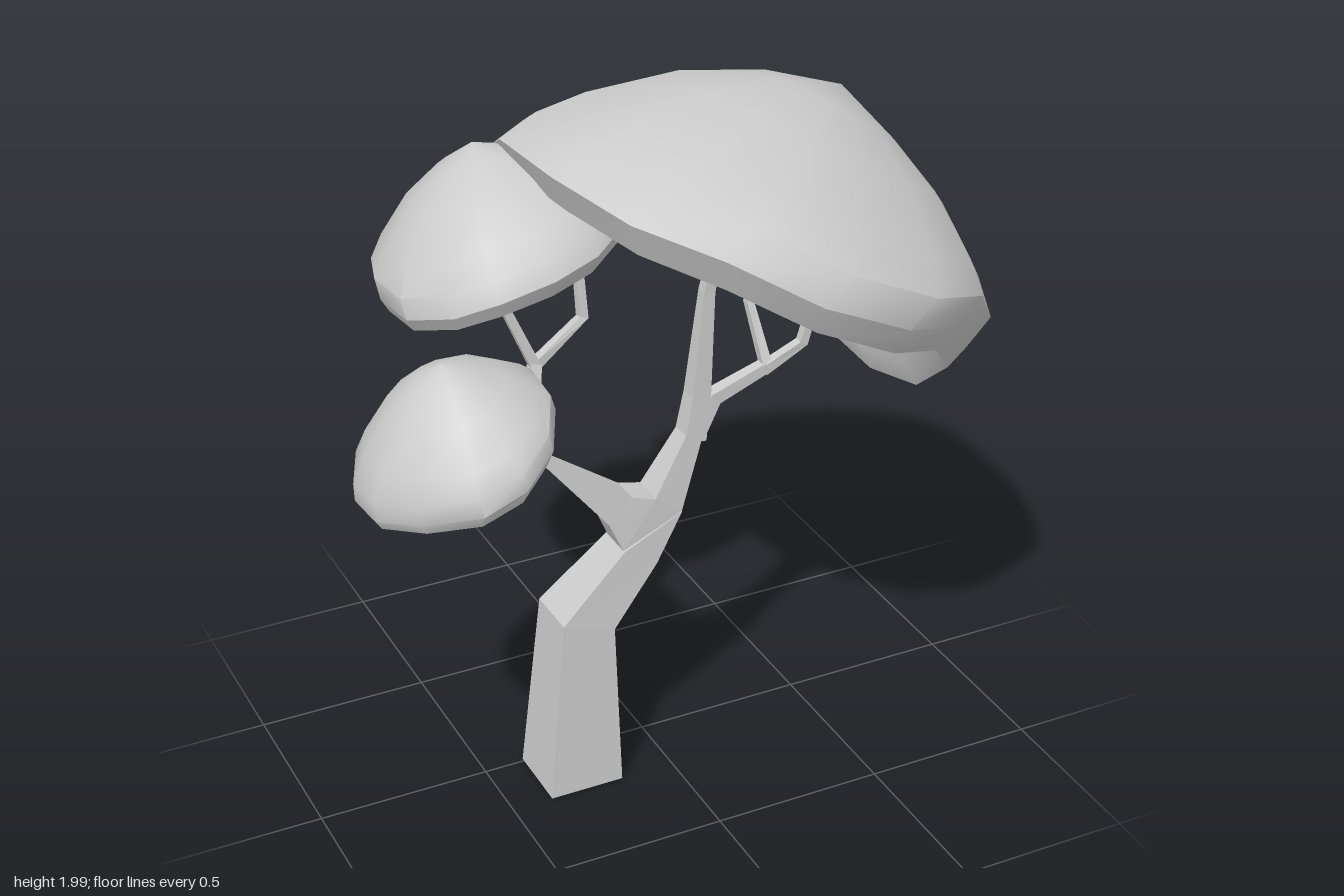
import * as THREE from 'three';
import { toCreasedNormals } from 'three/addons/utils/BufferGeometryUtils.js';

const V = (x, y, z) => new THREE.Vector3(x, y, z);
const smooth = new THREE.MeshStandardMaterial({ color: 0xcccccc, side: THREE.DoubleSide });
const faceted = new THREE.MeshStandardMaterial({ color: 0xcccccc, flatShading: true, side: THREE.DoubleSide });

// Skin a list of rings (each an array of Vector3 of equal length) into triangles
function skin(rings) {
  const pos = [];
  const tri = (a, b, c) => {
    if (a.distanceTo(b) > 1e-6 && b.distanceTo(c) > 1e-6 && a.distanceTo(c) > 1e-6)
      for (const p of [a, b, c]) pos.push(p.x, p.y, p.z);
  };
  const n = rings[0].length;
  for (let j = 0; j < rings.length - 1; j++) {
    for (let i = 0; i < n; i++) {
      const k = (i + 1) % n, a = rings[j], b = rings[j + 1];
      tri(a[i], b[i], a[k]);
      tri(a[k], b[i], b[k]);
    }
  }
  const g = new THREE.BufferGeometry();
  g.setAttribute('position', new THREE.Float32BufferAttribute(pos, 3));
  g.computeVertexNormals();
  return g;
}

function addMesh(parent, name, geometry, material) {
  const m = new THREE.Mesh(geometry, material);
  m.name = name;
  parent.add(m);
}

// Canopy profile: [share of rim radius, share of height], hollow underside first, then lip and dome
const PROFILE = [[0, 0.5], [0.4, 0.45], [0.72, 0.29], [0.9, 0.08], [0.96, 0],
  [1.03, 0.12], [1.01, 0.27], [0.88, 0.44], [0.6, 0.71], [0.3, 0.89], [0, 1]];

// Rim points run clockwise seen from above; the lip rises straight up, the dome along its tilted
// axis, and the rim's waviness fades towards that axis
function canopy(rim, axis, height) {
  const pts = rim.map(p => V(...p));
  const c = pts.reduce((s, p) => s.add(p), V(0, 0, 0)).divideScalar(pts.length);
  const up = V(...axis).normalize();
  const rings = PROFILE.map(([s, h]) => pts.map(p => {
    const wave = p.clone().sub(c).dot(up);
    return c.clone().lerp(p, s)
      .addScaledVector(h < 0.2 ? V(0, 1, 0) : up, h * height)
      .addScaledVector(up, wave * s * (s - 1));
  }));
  return toCreasedNormals(skin(rings), 0.62);
}

// Trunk section: left and right edge in x/y, centre and half width in z
const section = ([x1, y1, x2, y2, zc, h]) =>
  [V(x1, y1, zc + h), V(x1, y1, zc - h), V(x2, y2, zc - h), V(x2, y2, zc + h)];

// Four-sided tapering branch along points [x, y, z, half width]
function branch(path) {
  const pts = path.map(p => V(p[0], p[1], p[2]));
  const rings = pts.map((p, i) => {
    const dir = pts[Math.min(i + 1, pts.length - 1)].clone().sub(pts[Math.max(i - 1, 0)]).normalize();
    const side = dir.clone().cross(V(0, 0, 1)).normalize();
    const front = side.clone().cross(dir).normalize();
    const r = path[i][3];
    return [[1, 1], [1, -1], [-1, -1], [-1, 1]].map(([a, b]) =>
      p.clone().addScaledVector(side, a * r).addScaledVector(front, -b * r));
  });
  return skin(rings);
}

export function createModel() {
  const tree = new THREE.Group();
  tree.name = 'tree';

  // Trunk, open at the foot, with its two main limbs
  const trunk = new THREE.Group();
  trunk.name = 'trunk';
  tree.add(trunk);
  const limbs = {
    trunkBase: [[-0.38, 0, -0.16, 0, 0.095, 0.105], [-0.325, 0.55, -0.17, 0.5, 0.095, 0.083],
      [-0.13, 0.73, -0.03, 0.67, 0.1, 0.06], [-0.13, 0.73, 0.05, 0.81, 0.1, 0.052]],
    rightLimb: [[-0.13, 0.73, 0.05, 0.81, 0.1, 0.052], [-0.03, 0.87, 0.05, 0.81, 0.1, 0.05],
      [0.075, 1.04, 0.12, 1.01, 0.1, 0.03]],
    leftLimb: [[-0.03, 0.87, -0.13, 0.73, 0.1, 0.052], [-0.1, 0.89, -0.17, 0.82, 0.1, 0.045],
      [-0.35, 1.06, -0.39, 1.09, 0.08, 0.03]],
  };
  for (const [name, rows] of Object.entries(limbs))
    addMesh(trunk, name, skin(rows.map(section)), faceted);

  // Branches carrying the canopies
  const branches = new THREE.Group();
  branches.name = 'branches';
  tree.add(branches);
  const paths = {
    largeCanopyBranch: [[0.1, 1.01, 0.1, 0.033], [0.12, 1.14, 0.1, 0.028], [0.14, 1.45, 0.11, 0.017],
      [0.18, 1.68, 0.12, 0.012]],
    largeCanopySideBranch: [[0.1, 1.02, 0.1, 0.03], [0.17, 1.12, 0.1, 0.02], [0.32, 1.19, 0.12, 0.016]],
    largeCanopyTwigInner: [[0.32, 1.19, 0.12, 0.014], [0.3, 1.36, 0.05, 0.011], [0.39, 1.6, 0, 0.01]],
    largeCanopyTwigOuter: [[0.31, 1.18, 0.12, 0.015], [0.42, 1.25, 0.14, 0.013], [0.5, 1.55, 0.15, 0.01]],
    middleCanopyBranch: [[-0.37, 1.08, 0.08, 0.022], [-0.36, 1.13, 0.06, 0.02], [-0.31, 1.27, -0.02, 0.015]],
    middleCanopyTwigLeft: [[-0.31, 1.27, -0.02, 0.014], [-0.4, 1.48, -0.03, 0.012], [-0.36, 1.68, -0.06, 0.01]],
    middleCanopyTwigRight: [[-0.31, 1.27, -0.02, 0.014], [-0.14, 1.35, -0.08, 0.013], [-0.15, 1.7, -0.12, 0.01]],
    smallCanopyBranch: [[-0.36, 1.07, 0.08, 0.022], [-0.46, 1.13, 0.13, 0.016], [-0.57, 1.21, 0.2, 0.013],
      [-0.66, 1.38, 0.25, 0.009]],
    smallCanopyTwigFront: [[-0.56, 1.2, 0.19, 0.011], [-0.66, 1.23, 0.29, 0.009], [-0.72, 1.33, 0.33, 0.007]],
    smallCanopyTwigBack: [[-0.56, 1.2, 0.19, 0.011], [-0.66, 1.22, 0.18, 0.009], [-0.74, 1.32, 0.18, 0.007]],
  };
  for (const [name, path] of Object.entries(paths)) addMesh(branches, name, branch(path), faceted);

  // Three hollow, tilted canopies
  addMesh(tree, 'largeCanopy', canopy([
    [0.09, 1.35, -0.66], [0.36, 1.22, -0.64], [0.58, 1.1, -0.55], [0.76, 1.02, -0.35],
    [0.82, 0.94, -0.12], [0.83, 1.0, 0.13], [0.8, 1.17, 0.34], [0.62, 1.37, 0.56],
    [0.42, 1.45, 0.66], [0.17, 1.57, 0.67], [-0.05, 1.7, 0.58], [-0.21, 1.75, 0.39],
    [-0.29, 1.78, 0.11], [-0.31, 1.78, -0.17], [-0.25, 1.66, -0.4], [-0.14, 1.5, -0.57],
  ], [0.58, 0.81, -0.07], 0.62), smooth);

  addMesh(tree, 'middleCanopy', canopy([
    [-0.32, 1.4, -0.54], [-0.18, 1.42, -0.51], [-0.05, 1.45, -0.42], [0, 1.51, -0.28],
    [0.01, 1.58, -0.12], [-0.07, 1.61, 0.03], [-0.2, 1.59, 0.14], [-0.33, 1.56, 0.17],
    [-0.47, 1.52, 0.15], [-0.57, 1.47, 0.08], [-0.65, 1.43, -0.04], [-0.66, 1.42, -0.2],
    [-0.61, 1.4, -0.36], [-0.48, 1.38, -0.48],
  ], [-0.13, 0.94, -0.2], 0.37), smooth);

  addMesh(tree, 'smallCanopy', canopy([
    [-0.62, 1.2, 0], [-0.48, 1.26, 0.06], [-0.41, 1.3, 0.2], [-0.43, 1.31, 0.37],
    [-0.49, 1.27, 0.49], [-0.59, 1.22, 0.56], [-0.7, 1.17, 0.55], [-0.82, 1.13, 0.46],
    [-0.9, 1.1, 0.34], [-0.91, 1.1, 0.22], [-0.85, 1.11, 0.08], [-0.76, 1.14, 0.01],
  ], [-0.08, 0.97, 0], 0.31), smooth);

  return tree;
}
